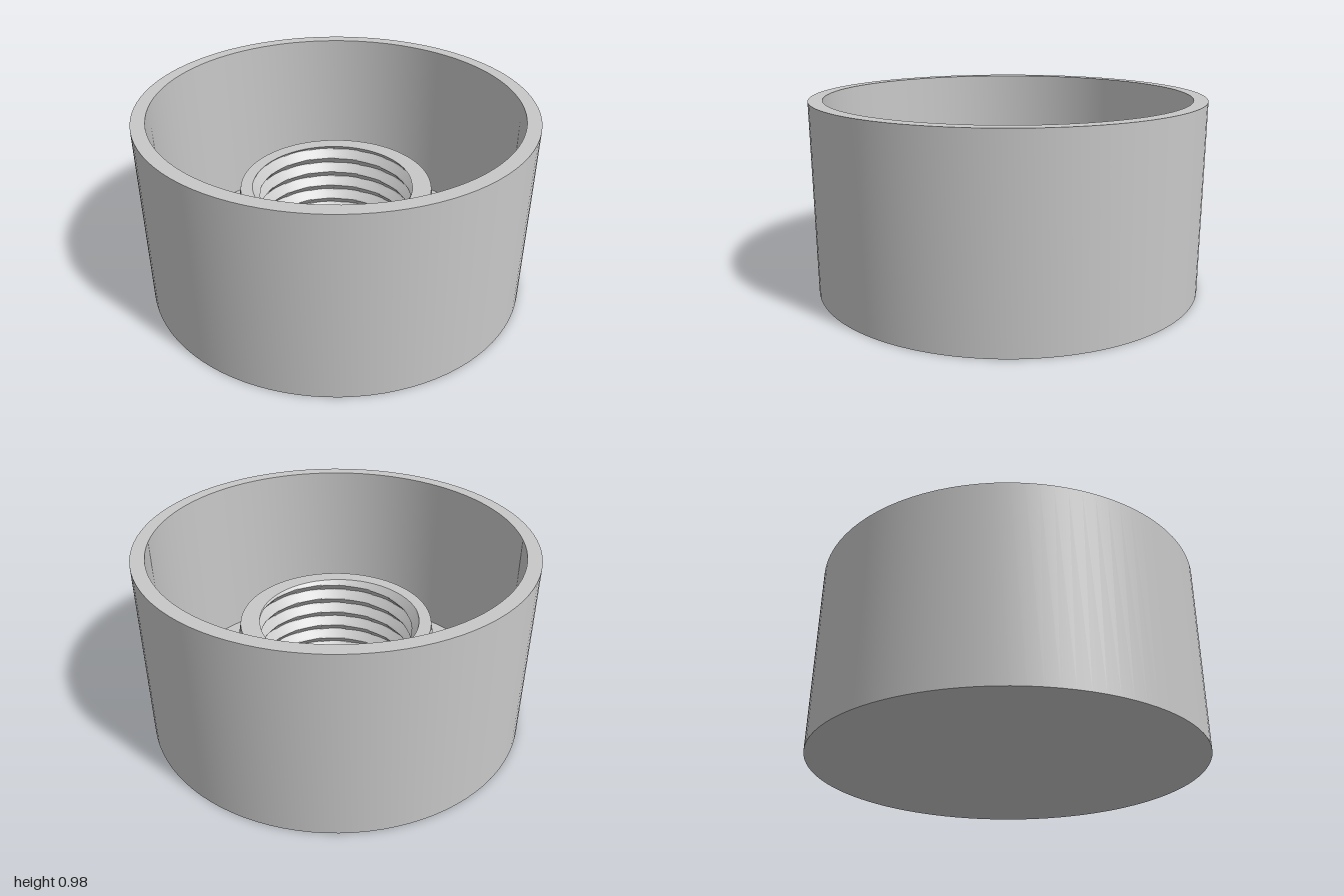
import * as THREE from 'three';
import { toCreasedNormals } from 'three/addons/utils/BufferGeometryUtils.js';
import { ParametricGeometry } from 'three/addons/geometries/ParametricGeometry.js';

const FLOOR = 0.07, NECK_TOP = 0.53, PITCH = 0.09;
const ROOT = 0.44, CREST = 0.40;

// Radius of the threaded bore at turn u (0..1) and height y: a triangular helix
function boreRadius(u, y) {
  const phase = (y - NECK_TOP) / PITCH + u - 0.5;
  const f = phase - Math.floor(phase);
  return ROOT - (ROOT - CREST) * (1 - Math.abs(2 * f - 1));
}

function place(u, r, y, target) {
  const t = u * Math.PI * 2;
  target.set(r * Math.cos(t), y, r * Math.sin(t));
}

export function createModel() {
  const group = new THREE.Group();
  const grey = new THREE.MeshStandardMaterial({ color: 0xc8c8c8 });
  grey.name = 'plain grey';

  const add = (name, geometry) => {
    const mesh = new THREE.Mesh(geometry, grey);
    mesh.name = name;
    group.add(mesh);
    return mesh;
  };

  const lathe = (points) => toCreasedNormals(
    new THREE.LatheGeometry(points.map(([r, y]) => new THREE.Vector2(r, y)), 96), 0.5);

  // Open cup: base, outer wall, rim, inner wall and floor
  add('cup', lathe([[0, 0], [1, 0], [1, 0.98], [0.93, 0.98], [0.93, FLOOR], [0.58, FLOOR]]));

  // Tapered neck standing on the floor
  add('neck', lathe([[0.58, FLOOR], [0.5, NECK_TOP]]));

  // Flat lip, whose inner edge follows the start of the thread
  add('neckLip', new ParametricGeometry((u, v, target) => {
    const inner = boreRadius(u, NECK_TOP);
    place(u, inner + (0.5 - inner) * v, NECK_TOP, target);
  }, 96, 1));

  // Helical thread inside the neck
  add('thread', toCreasedNormals(new ParametricGeometry((u, v, target) => {
    const y = FLOOR + (NECK_TOP - FLOOR) * v;
    place(u, boreRadius(u, y), y, target);
  }, 96, 92), 0.6));

  // Closed bottom of the bore
  const bottom = add('boreFloor', new THREE.CircleGeometry(ROOT, 96));
  bottom.rotation.x = -Math.PI / 2;
  bottom.position.y = FLOOR;

  return group;
}
